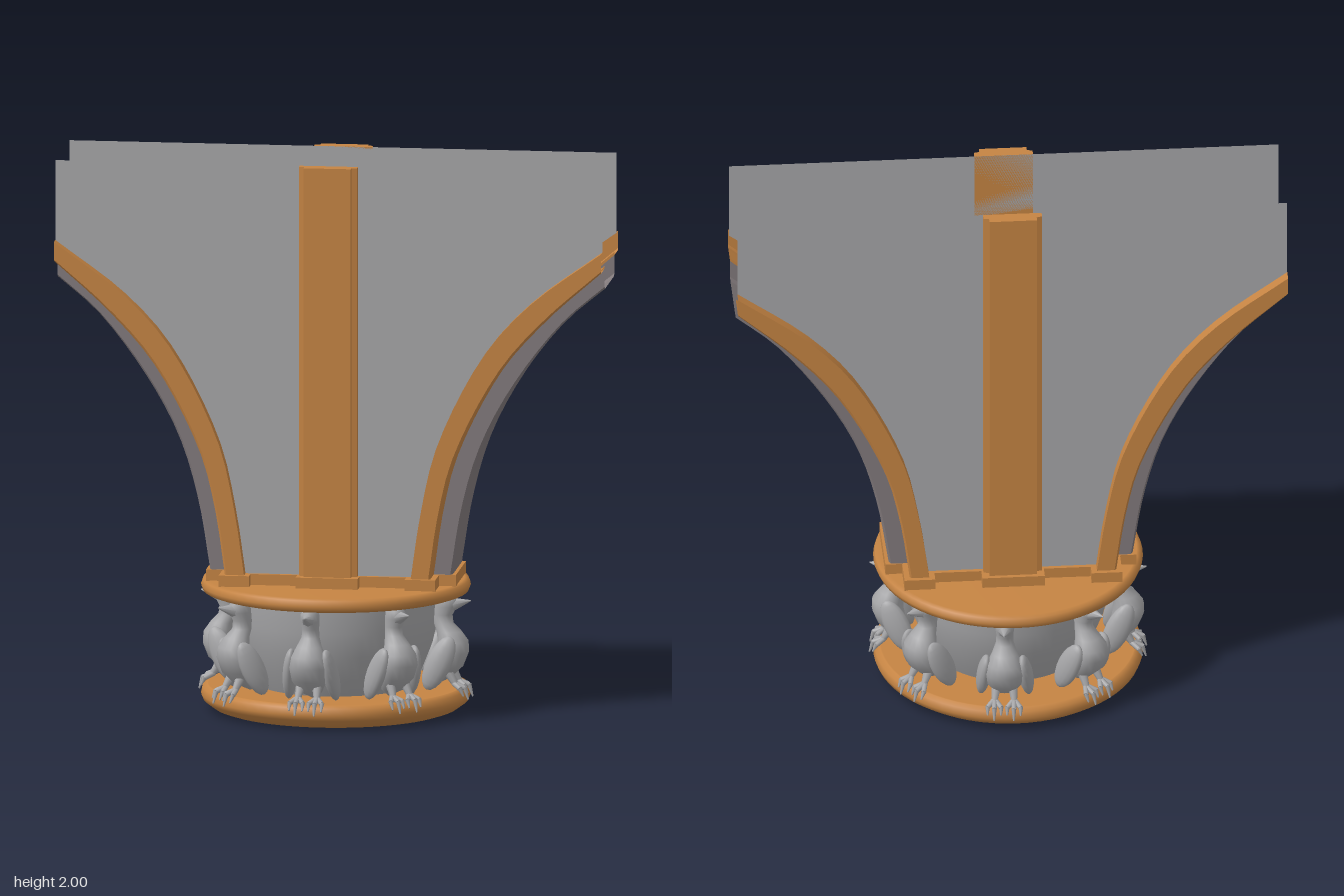
import * as THREE from 'three';

const mat = (name, color) => new THREE.MeshStandardMaterial({ name, color, side: THREE.DoubleSide });

export function createModel() {
  const wood = mat('ochreTrim', 0xc58443);
  const stone = mat('greyStone', 0xa6a6a8);
  const soffitMat = mat('warmGreySoffit', 0x827a7c);
  const model = new THREE.Group();
  const add = (name, geo, material, parent = model) => {
    const m = new THREE.Mesh(geo, material);
    m.name = name;
    parent.add(m);
    return m;
  };

  // Round base, drum and upper disc
  const lathe = (pts, n = 64) => new THREE.LatheGeometry(pts.map(p => new THREE.Vector2(...p)), n);
  add('baseDisc', lathe([[0, 0], [0.41, 0], [0.44, 0.01], [0.474, 0.035], [0.482, 0.055],
    [0.477, 0.08], [0.46, 0.09], [0.455, 0.09], [0, 0.09]]), wood);
  add('drum', lathe([[0.28, 0.09], [0.31, 0.15], [0.345, 0.24], [0.365, 0.33], [0.37, 0.425]]), stone);
  add('upperDisc', lathe([[0, 0.425], [0.455, 0.425], [0.475, 0.432], [0.482, 0.45],
    [0.475, 0.47], [0.46, 0.476], [0, 0.478]]), wood);

  // Stepped plinth under the panels
  const quarter = [[0.45, 0.145], [0.39, 0.145], [0.39, 0.26], [0.28, 0.26], [0.28, 0.215], [0.112, 0.215], [0.112, 0.265]];
  const flip = (pts, sx, sy) => pts.map(([x, y]) => [x * sx, y * sy]);
  const outline = [...quarter, ...flip(quarter, -1, 1).reverse(), ...flip(quarter, -1, -1), ...flip(quarter, 1, -1).reverse()];
  const shapeOf = pts => new THREE.Shape(pts.map(p => new THREE.Vector2(...p)));
  const plinth = new THREE.ExtrudeGeometry(shapeOf(outline), { depth: 0.042, bevelEnabled: false });
  plinth.rotateX(-Math.PI / 2).translate(0, 0.474, 0);
  add('plinth', plinth, wood);

  // Three flaring curves: panel edge, trim edge, soffit
  const SEG = 18;
  const curve = pts => new THREE.CatmullRomCurve3(pts.map(([x, y]) => new THREE.Vector3(x, y, 0))).getSpacedPoints(SEG);
  const curves = [
    curve([[0.30, 0.515], [0.335, 0.75], [0.395, 1.0], [0.565, 1.335], [0.73, 1.52], [0.985, 1.71]]),
    curve([[0.37, 0.515], [0.405, 0.75], [0.46, 0.96], [0.625, 1.275], [0.79, 1.465], [0.985, 1.64]]),
    curve([[0.437, 0.515], [0.477, 0.755], [0.535, 0.96], [0.61, 1.12], [0.73, 1.305], [0.85, 1.45], [0.985, 1.565]]),
  ];
  // Sweeps a section of [curve position 0..2, z] along the curves
  const sweep = (section, side) => {
    const pos = [], idx = [];
    const put = ([t, z], i) => {
      const k = Math.min(1, Math.floor(t));
      const p = curves[k][i].clone().lerp(curves[k + 1][i], t - k);
      pos.push(p.x * side, p.y, z);
    };
    for (let s = 0; s < section.length - 1; s++) {
      const base = pos.length / 3;
      for (let i = 0; i <= SEG; i++) { put(section[s], i); put(section[s + 1], i); }
      for (let i = 0; i < SEG; i++) {
        const a = base + 2 * i;
        if (side > 0) idx.push(a, a + 1, a + 2, a + 1, a + 3, a + 2);
        else idx.push(a, a + 2, a + 1, a + 1, a + 2, a + 3);
      }
    }
    const g = new THREE.BufferGeometry();
    g.setAttribute('position', new THREE.Float32BufferAttribute(pos, 3));
    g.setIndex(idx);
    g.computeVertexNormals();
    return g;
  };
  const trimSection = [[0, 0.2], [0, 0.244], [0.9, 0.244], [1, 0.236], [1, 0.14], [0.85, 0.14], [0.85, 0.2]];
  const soffitSection = [[1, 0.14], [1.88, 0.14], [2, 0.125], [2, -0.125], [1.88, -0.14], [1, -0.14]];
  for (const side of [1, -1]) {
    const label = side > 0 ? 'left' : 'right';
    add(label + 'Soffit', sweep(soffitSection, side), soffitMat);
    add(label + 'FrontTrim', sweep(trimSection, side), wood);
    add(label + 'BackTrim', sweep(trimSection.map(([t, z]) => [t, -z]).reverse(), side), wood);
  }

  // Flat panels and central pilasters, front and back
  const edge = curves[0].map(p => [p.x, p.y]);
  const panelShape = shapeOf([...edge, [0.985, 2], [-0.985, 2], ...flip(edge, -1, 1).reverse()]);
  const pilasterShape = shapeOf([[-0.105, -0.2], [-0.105, -0.225], [-0.085, -0.23], [-0.085, -0.25],
    [0.085, -0.25], [0.085, -0.23], [0.105, -0.225], [0.105, -0.2]]);
  for (const [label, turn] of [['front', 0], ['back', Math.PI]]) {
    const face = new THREE.Group();
    face.name = label + 'Face';
    face.rotation.y = turn;
    model.add(face);
    add('panel', new THREE.ShapeGeometry(panelShape).translate(0, 0, 0.2), stone, face);
    const post = new THREE.ExtrudeGeometry(pilasterShape, { depth: 1.485, bevelEnabled: false });
    add('pilaster', post.rotateX(-Math.PI / 2).translate(0, 0.515, 0), wood, face);
  }

  // Bird body lofted from ellipses: [y, z centre, half width, half depth]
  const rows = [[0.10, 0.36, 0.004, 0.004], [0.125, 0.385, 0.04, 0.035], [0.17, 0.415, 0.064, 0.052],
    [0.22, 0.43, 0.07, 0.057], [0.26, 0.43, 0.062, 0.055], [0.295, 0.415, 0.045, 0.045], [0.325, 0.395, 0.032, 0.036],
    [0.355, 0.392, 0.03, 0.036], [0.385, 0.402, 0.034, 0.042], [0.41, 0.405, 0.033, 0.042], [0.425, 0.40, 0.022, 0.03]];
  const N = 16, bp = [], bi = [];
  rows.forEach(([y, zc, rx, rz], r) => {
    for (let i = 0; i < N; i++) {
      const a = i / N * Math.PI * 2;
      bp.push(Math.sin(a) * rx, y, zc + Math.cos(a) * rz);
      if (r < rows.length - 1) {
        const p = r * N + i, q = r * N + (i + 1) % N;
        bi.push(p, q, p + N, q, q + N, p + N);
      }
    }
  });
  const bodyGeo = new THREE.BufferGeometry();
  bodyGeo.setAttribute('position', new THREE.Float32BufferAttribute(bp, 3));
  bodyGeo.setIndex(bi);
  bodyGeo.computeVertexNormals();

  // Tapered rod between two points
  const rod = (a, b, r0, r1) => {
    const A = new THREE.Vector3(...a), B = new THREE.Vector3(...b), d = B.clone().sub(A);
    const g = new THREE.CylinderGeometry(r1, r0, d.length(), 8);
    g.applyQuaternion(new THREE.Quaternion().setFromUnitVectors(new THREE.Vector3(0, 1, 0), d.normalize()));
    return g.translate(...A.add(B).multiplyScalar(0.5).toArray());
  };
  const beakGeo = rod([0, 0.392, 0.425], [0, 0.408, 0.495], 0.026, 0.002);
  const wingGeo = new THREE.SphereGeometry(1, 14, 10).scale(0.026, 0.105, 0.046);

  // Ring of eight birds
  for (let k = 0; k < 8; k++) {
    const bird = new THREE.Group();
    bird.name = 'bird' + (k + 1);
    bird.rotation.y = k * Math.PI / 4 - 0.105;
    model.add(bird);
    add('body', bodyGeo, stone, bird);
    add('beak', beakGeo, stone, bird);
    for (const s of [1, -1]) {
      const wing = add('wing', wingGeo, stone, bird);
      wing.position.set(s * 0.075, 0.19, 0.395);
      wing.rotation.set(0.42, 0, s * 0.12);
      add('leg', rod([s * 0.03, 0.15, 0.42], [s * 0.035, 0.108, 0.446], 0.018, 0.011), stone, bird);
      for (const t of [-1, 0, 1]) {
        const x = s * 0.035, tx = x + t * 0.024, reach = t ? 0.478 : 0.49;
        add('toe', rod([x, 0.112, 0.44], [tx, 0.096, reach - 0.008], 0.01, 0.009), stone, bird);
        add('claw', rod([tx, 0.099, reach - 0.01], [tx, t ? 0.07 : 0.055, reach + 0.004], 0.009, 0.003), stone, bird);
      }
    }
  }
  return model;
}
